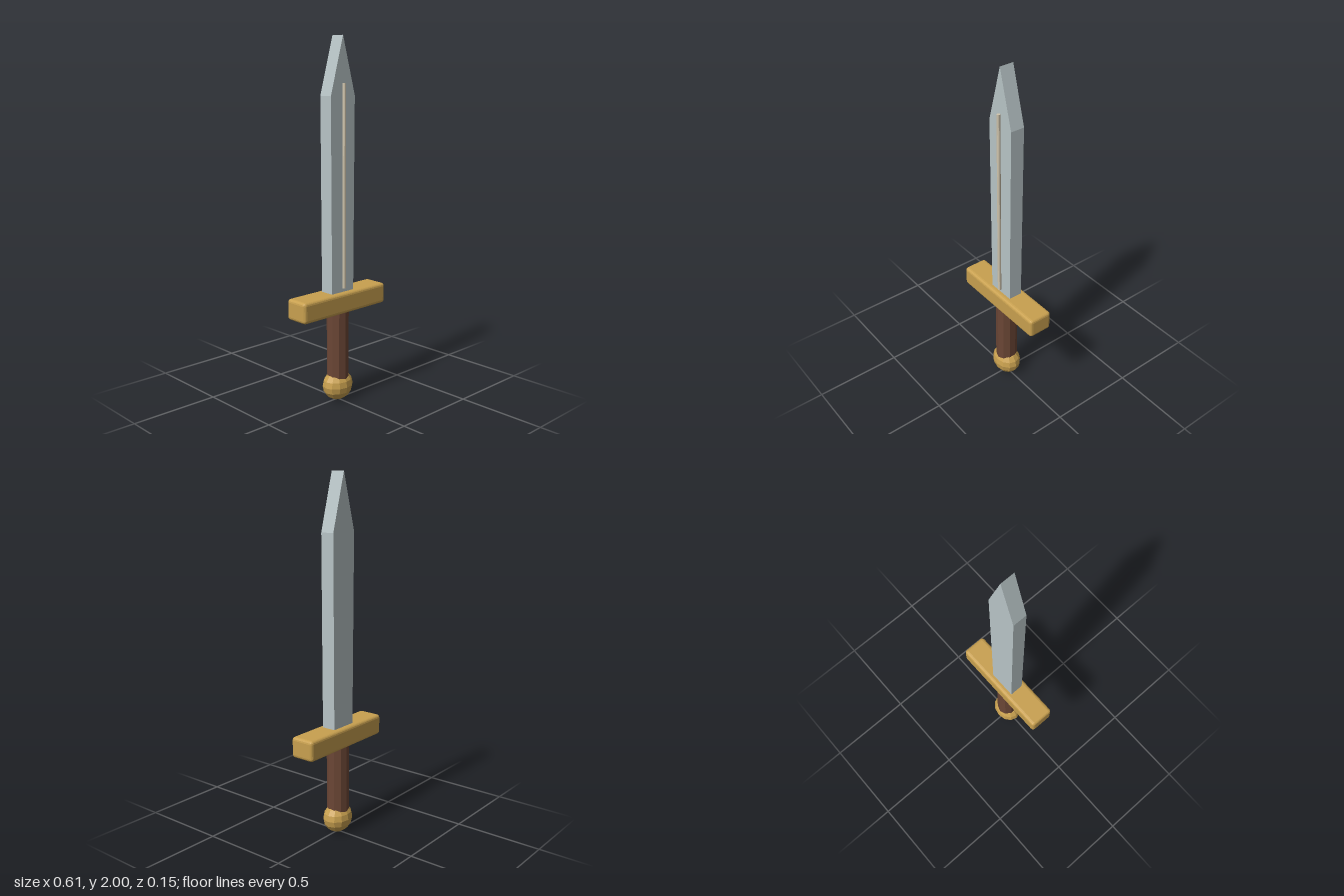
import * as THREE from 'three';
import { RoundedBoxGeometry } from 'three/addons/geometries/RoundedBoxGeometry.js';

const material = (color) => new THREE.MeshStandardMaterial({ color, flatShading: true });

export function createModel() {
  const sword = new THREE.Group();
  sword.name = 'sword';
  const steel = material(0xb8c4c6);
  const brass = material(0xc8a04f);
  const leather = material(0x6b4635);
  const pale = material(0xcfc4ac);

  const add = (name, geometry, mat, y, z = 0) => {
    const mesh = new THREE.Mesh(geometry, mat);
    mesh.name = name;
    mesh.position.set(0, y, z);
    sword.add(mesh);
    return mesh;
  };

  // Blade: slab widening slightly towards a pointed tip
  const outline = new THREE.Shape([
    [-0.08, 0.6], [0.08, 0.6], [0.087, 1.69], [0, 2], [-0.087, 1.69],
  ].map(([x, y]) => new THREE.Vector2(x, y)));
  const blade = new THREE.ExtrudeGeometry(outline, { depth: 0.08, bevelEnabled: false });
  add('blade', blade, steel, 0, -0.04);

  // Thin raised rod on the front of the blade
  add('bladeRib', new THREE.CylinderGeometry(0.01, 0.01, 1.1, 12), pale, 1.205, 0.05);

  // Crossguard with softened edges
  add('crossguard', new RoundedBoxGeometry(0.612, 0.116, 0.142, 2, 0.018), brass, 0.573);

  // Faceted grip
  add('grip', new THREE.CylinderGeometry(0.062, 0.062, 0.43, 10), leather, 0.32);

  // Flattened ball pommel
  const pommel = add('pommel', new THREE.SphereGeometry(1, 12, 8), brass, 0.085);
  pommel.scale.set(0.093, 0.085, 0.076);

  return sword;
}
